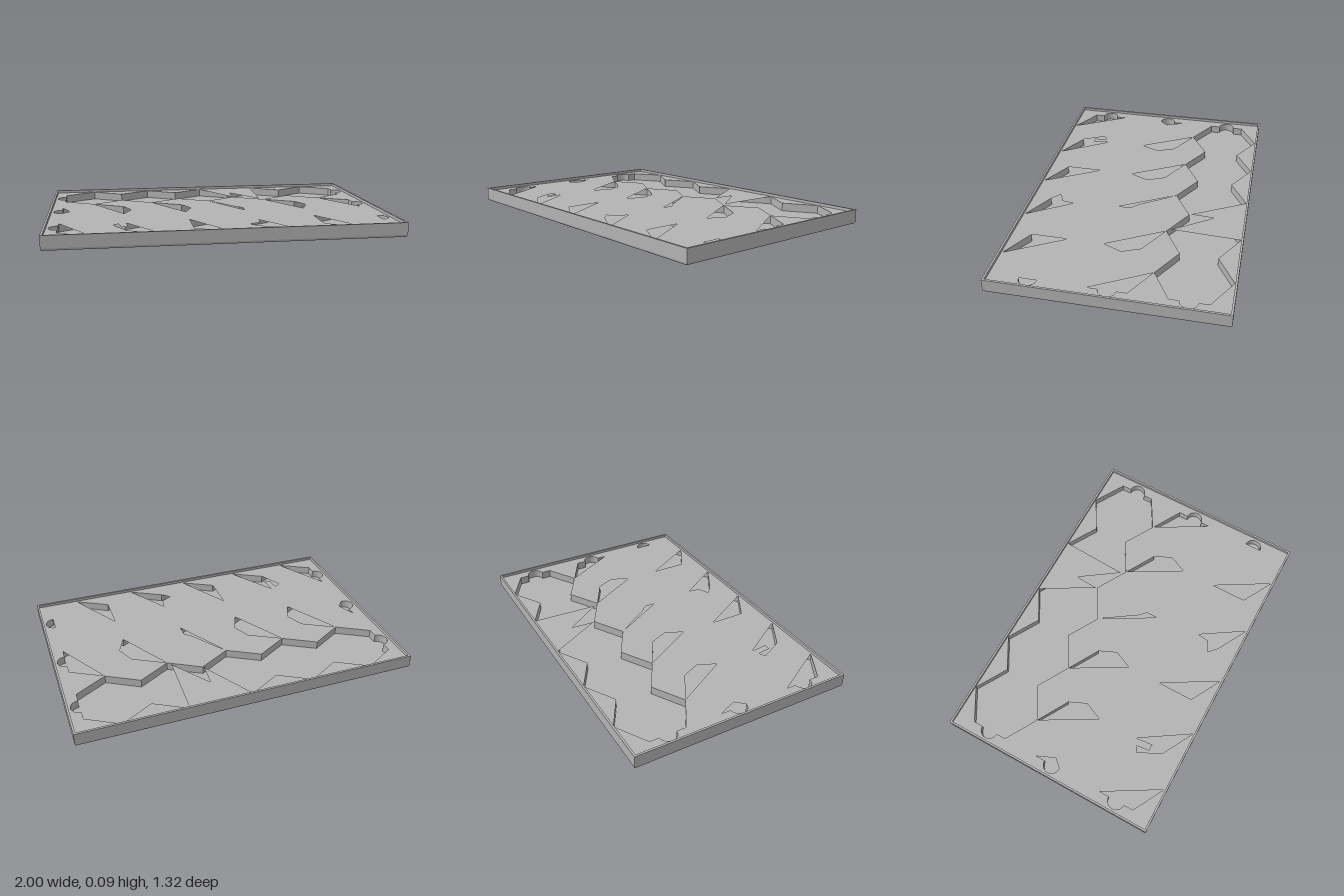
import * as THREE from 'three';

const PITCH = 0.185, LEFT = -0.925, VALLEY = 0.107, PEAK = 0.215, ROW = 0.43;
const DECK = 0.068, FLOOR = 0.02, TOP = 0.085, RIM = 0.012, NOTCH = 0.05;

// Points on an arc, as [x, z], turning anticlockwise seen from above
function arc(cx, cz, r, from, to, n = 10) {
  return Array.from({ length: n + 1 }, (_, i) => {
    const a = from + (to - from) * i / n;
    return [cx + r * Math.cos(a), cz - r * Math.sin(a)];
  });
}

const rightNotch = (z) => arc(-LEFT, z, NOTCH, -Math.PI / 2, Math.PI / 2);
const leftNotch = (z) => arc(LEFT, z, NOTCH, Math.PI / 2, Math.PI * 1.5);
const rect = (inset) => {
  const x = 1 - inset, z = 0.66 - inset;
  return [[x, z], [x, -z], [-x, -z], [-x, z]];
};

// Outline of a row of five joined hexagons with a round notch at each end
function rowLoop(z, flap) {
  const pts = [];
  for (let k = 0; k <= 10; k++) pts.push([LEFT + k * PITCH, z + (k % 2 ? PEAK : VALLEY)]);
  pts.push(...rightNotch(z));
  for (let k = 10; k >= 0; k--) {
    if (flap && k === 6) pts.push(...flap);
    else pts.push([LEFT + k * PITCH, z - (k % 2 ? PEAK : VALLEY)]);
  }
  pts.push(...leftNotch(z));
  return pts;
}

// Flat-faced band joining stacked loops of [points, y]
function bands(loops) {
  const pos = [];
  for (let j = 0; j + 1 < loops.length; j++) {
    const [a, ya] = loops[j], [b, yb] = loops[j + 1];
    a.forEach((p, i) => {
      const n = (i + 1) % a.length;
      const A = [p[0], ya, p[1]], B = [a[n][0], ya, a[n][1]];
      const C = [b[n][0], yb, b[n][1]], D = [b[i][0], yb, b[i][1]];
      pos.push(...A, ...B, ...C, ...A, ...C, ...D);
    });
  }
  const g = new THREE.BufferGeometry();
  g.setAttribute('position', new THREE.Float32BufferAttribute(pos, 3));
  g.computeVertexNormals();
  return g;
}

// Level sheet with holes, facing up or down
function sheet(outline, holes, y, up = true) {
  const s = up ? -1 : 1;
  const vec = (pts) => pts.map(([x, z]) => new THREE.Vector2(x, s * z));
  const shape = new THREE.Shape(vec(outline));
  shape.holes = holes.map((h) => new THREE.Path(vec(h)));
  return new THREE.ShapeGeometry(shape).rotateX(s * Math.PI / 2).translate(0, y, 0);
}

export function createModel() {
  const group = new THREE.Group();
  const grey = new THREE.MeshStandardMaterial({ color: 0xb3b3b3 });
  grey.name = 'grey';
  const add = (name, geometry) => {
    const mesh = new THREE.Mesh(geometry, grey);
    mesh.name = name;
    group.add(mesh);
  };

  // Outer wall: rounded lower edge, thin raised rim
  add('outerWall', bands([
    [rect(0.015), 0], [rect(0.0075), 0.002], [rect(0.002), 0.0075], [rect(0), 0.015],
    [rect(0), TOP], [rect(RIM), TOP], [rect(RIM), DECK],
  ]));

  // Openings in the deck: the whole back row except one flap
  const openings = [rowLoop(-ROW, [[0.35, -0.24], [0.19, -0.47], [0.18, -0.33], [0.14, -0.4]])];

  // Middle row: slanted slots, and one at each end
  for (const x of [-0.74, -0.37, 0.37]) {
    openings.push([[x + 0.004, -0.21], [x + 0.185, -0.107], [x + 0.232, 0], [x + 0.185, 0.107]]);
  }
  openings.push(
    [[0.004, -0.21], [0.145, 0], [0.185, 0.04], [0.185, 0.107]],
    [[0.744, -0.21], [0.925, -0.107], ...rightNotch(0).reverse(), [0.925, 0.107]],
    [[-0.925, -0.107], [-0.88, 0], [-0.925, 0.05], ...leftNotch(0).reverse().slice(1)],
  );

  // Front row: triangular slots, and a half circle at the right end
  for (const x of [-0.185, 0.555]) openings.push([[x, 0.323], [x + 0.185, 0.64], [x, 0.537]]);
  openings.push(
    [[-0.925, 0.323], [-0.74, 0.64], [-0.925, 0.537], ...leftNotch(ROW).reverse()],
    [[-0.625, 0.4], [-0.59, 0.38], [-0.58, 0.46], [-0.54, 0.46], [-0.55, 0.36], [-0.37, 0.64], [-0.555, 0.537]],
    [[0.135, 0.49], [0.2, 0.46], [0.21, 0.39], [0.37, 0.64], [0.185, 0.537]],
    rightNotch(ROW),
  );
  add('deck', sheet(rect(RIM), openings, DECK));

  // Pocket walls and floor below the deck
  for (const z of [-ROW, 0, ROW]) {
    const loop = rowLoop(z);
    add('pocketWall', bands([[loop, DECK], [loop, FLOOR]]));
  }
  add('pocketFloor', sheet(rect(RIM), [], FLOOR));

  // Underside with a shallow round recess near each corner
  const recesses = [];
  for (const x of [-0.94, 0.94]) {
    for (const z of [-0.6, 0.6]) recesses.push(arc(x, z, 0.03, 0, Math.PI * 2, 16).slice(0, 16));
  }
  add('underside', sheet(rect(0.015), recesses, 0, false));
  for (const loop of recesses) {
    add('recessWall', bands([[loop, 0.012], [loop, 0]]));
    add('recessCap', sheet(loop, [], 0.012, false));
  }
  return group;
}
